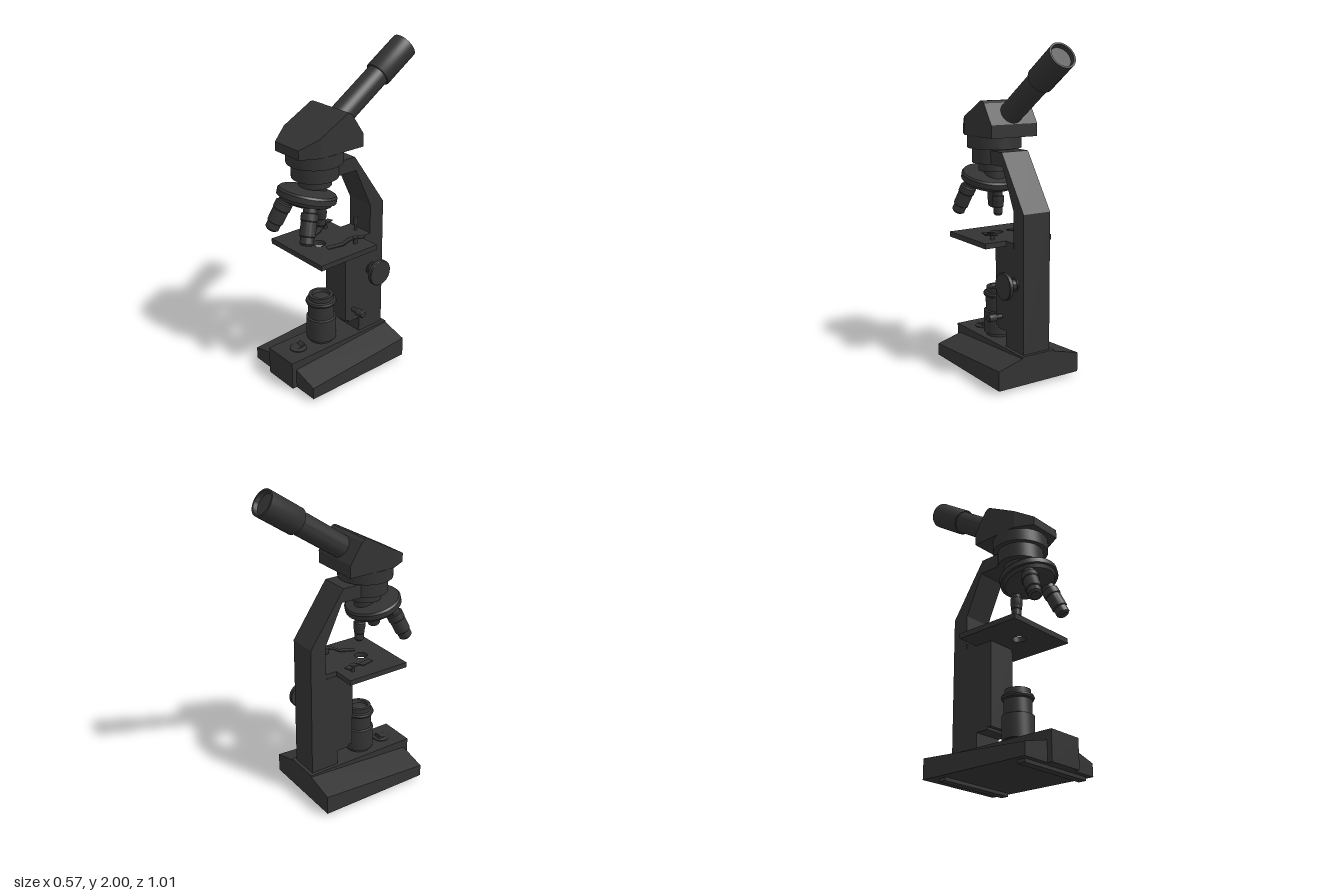
import * as THREE from 'three';
import { ConvexGeometry } from 'three/addons/geometries/ConvexGeometry.js';
import { toCreasedNormals } from 'three/addons/utils/BufferGeometryUtils.js';

const CX = 0.008;  // optical axis, x
const AXIS_Z = 0.2; // optical axis, z

export function createModel() {
  const model = new THREE.Group();
  const material = new THREE.MeshStandardMaterial({ color: 0x333333, side: THREE.DoubleSide });

  function add(name, geometry, x = 0, y = 0, z = 0, parent = model) {
    const mesh = new THREE.Mesh(geometry, material);
    mesh.name = name;
    mesh.position.set(x, y, z);
    parent.add(mesh);
    return mesh;
  }
  // Box given by its limits
  function block(name, x0, x1, y0, y1, z0, z1) {
    return add(name, new THREE.BoxGeometry(x1 - x0, y1 - y0, z1 - z0), (x0 + x1) / 2, (y0 + y1) / 2, (z0 + z1) / 2);
  }
  // Turned part from [radius, height] points, with crisp edges
  function turned(points, segments = 40) {
    const profile = points.map(([r, y]) => new THREE.Vector2(r, y));
    return toCreasedNormals(new THREE.LatheGeometry(profile, segments), 0.6);
  }
  // Side profile of [z, y] points, extruded across x
  function sideExtrude(points, width) {
    const shape = new THREE.Shape(points.map(([z, y]) => new THREE.Vector2(z, y)));
    return new THREE.ExtrudeGeometry(shape, { depth: width, bevelEnabled: false })
      .rotateY(-Math.PI / 2).translate(width / 2, 0, 0);
  }
  const hull = (points) => new ConvexGeometry(points.map((p) => new THREE.Vector3(...p)));

  // Base: sloping slab, raised centre ridge and cross feet
  const slab = [];
  for (const [outer, inner] of [[-0.285, -0.107], [0.285, 0.123]]) {
    for (const [z, yOuter, yInner] of [[0.475, 0.095, 0.14], [-0.25, 0.14, 0.185]]) {
      slab.push([outer, 0.02, z], [outer, yOuter, z], [inner, yInner, z]);
    }
  }
  add('baseSlab', hull(slab));
  block('baseRidge', -0.107, 0.123, 0.02, 0.195, -0.25, 0.505);
  for (const z of [0.42, -0.135]) block('footStrip', -0.25, 0.26, 0, 0.03, z - 0.025, z + 0.025);

  // Rocker switch on the ridge
  add('switchPlate', turned([[0, 0], [0.052, 0], [0.052, 0.008], [0.04, 0.012], [0, 0.012]], 28), CX, 0.193, 0.37);
  add('switchRocker', sideExtrude([[0.04, 0], [-0.03, 0], [-0.03, 0.03], [-0.01, 0.012], [0.04, 0.006]], 0.045), CX, 0.198, 0.37);

  // Column with cranked arm and focusing block
  add('columnArm', sideExtrude([
    [-0.228, 0.19], [-0.04, 0.19], [-0.04, 0.29], [0.045, 0.29], [0.045, 0.305], [0.07, 0.305],
    [0.07, 0.82], [-0.125, 0.82], [-0.125, 1.035], [-0.01, 1.285], [0.16, 1.285], [0.16, 1.37],
    [0, 1.37], [-0.228, 1.035],
  ], 0.186), CX, 0, 0);

  // Focus knob and small lever, both on the left side
  const knob = add('focusKnob', turned([
    [0, -0.01], [0.042, -0.01], [0.042, 0.008], [0.032, 0.008], [0.032, 0.06], [0.078, 0.06],
    [0.082, 0.064], [0.082, 0.083], [0.078, 0.087], [0, 0.087],
  ]), 0.1, 0.605, -0.138);
  knob.rotation.z = -Math.PI / 2;
  const lever = add('condenserLever', turned([
    [0, -0.01], [0.014, -0.01], [0.014, 0.04], [0.021, 0.04], [0.023, 0.045], [0.023, 0.092], [0.018, 0.097], [0, 0.097],
  ], 20), 0.1, 0.372, 0.01);
  lever.rotation.z = -Math.PI / 2;

  // Lamp housing with recessed lens
  add('lampHousing', turned([
    [0, 0.19], [0.076, 0.19], [0.076, 0.215], [0.092, 0.215], [0.092, 0.355], [0.08, 0.36], [0.08, 0.445],
    [0.09, 0.45], [0.095, 0.462], [0.09, 0.474], [0.075, 0.478], [0.075, 0.507], [0.055, 0.507],
    [0.05, 0.49], [0.03, 0.497], [0, 0.5],
  ]), CX, 0, 0.187);

  // Stage plate with light hole
  const plate = new THREE.Shape();
  plate.moveTo(-0.236, -0.372).lineTo(0.236, -0.372).lineTo(0.236, 0.047).lineTo(0.093, 0.047)
    .lineTo(0.093, 0.128).lineTo(-0.093, 0.128).lineTo(-0.093, 0.047).lineTo(-0.236, 0.047).closePath();
  plate.holes.push(new THREE.Path().absarc(0, -AXIS_Z, 0.04, 0, Math.PI * 2, true));
  add('stage', new THREE.ExtrudeGeometry(plate, { depth: 0.032, bevelEnabled: false, curveSegments: 24 })
    .rotateX(-Math.PI / 2), CX + 0.002, 0.818, 0);
  add('stagePin', turned([[0, 0], [0.009, 0], [0.009, 0.045], [0.014, 0.045], [0.014, 0.088], [0, 0.088]], 16), CX, 0.848, -0.09);

  // Bent spring clips on posts
  for (const side of [-1, 1]) {
    const clip = new THREE.Group();
    clip.name = 'stageClip';
    clip.position.set(CX + side * 0.14, 0.85, 0.035);
    clip.rotation.y = -side * 0.3;
    model.add(clip);
    add('clipPost', turned([[0, 0], [0.013, 0], [0.013, 0.03], [0.018, 0.03], [0.018, 0.042], [0, 0.042]], 16), 0, 0, 0, clip);
    add('clipSpring', sideExtrude([
      [-0.055, 0.032], [0.03, 0.032], [0.085, 0.006], [0.18, 0.001], [0.18, 0.006], [0.085, 0.012], [0.033, 0.038], [-0.055, 0.038],
    ], 0.036), 0, 0, 0, clip);
  }

  // Stepped mount under the head
  add('headMount', turned([
    [0, 1.17], [0.065, 1.17], [0.065, 1.235], [0.097, 1.235], [0.097, 1.285], [0.137, 1.285], [0.137, 1.376],
    [0.166, 1.376], [0.166, 1.452], [0, 1.452],
  ], 48), CX + 0.002, 0, 0.222);

  // Prism head with chamfered front corners
  const head = [];
  for (const side of [-1, 1]) {
    const w = side * 0.161;
    const n = side * 0.105;
    head.push([w, 1.452, 0], [w, 1.53, 0], [w, 1.652, 0.08], [w, 1.667, 0.1], [w, 1.667, 0.118],
      [w, 1.452, 0.31], [w, 1.563, 0.31], [n, 1.452, 0.417], [n, 1.506, 0.417]);
  }
  add('prismHead', hull(head), CX + 0.002, 0, 0);

  // Inclined eyepiece tube with recessed lens
  const eyepiece = add('eyepieceTube', turned([
    [0, -0.06], [0.069, -0.06], [0.069, 0.35], [0.077, 0.35], [0.081, 0.356], [0.081, 0.6],
    [0.07, 0.6], [0.064, 0.575], [0, 0.575],
  ], 48), CX, 1.593, 0.04);
  eyepiece.rotation.x = -Math.atan2(0.497, 0.335);

  // Tilted revolving nosepiece
  const turret = new THREE.Group();
  turret.name = 'nosepiece';
  turret.position.set(CX + 0.002, 1.185, 0.282);
  turret.rotation.x = -0.26;
  model.add(turret);
  add('turretDisc', turned([
    [0, -0.06], [0.1, -0.06], [0.15, -0.04], [0.16, -0.018], [0.174, -0.018], [0.174, 0.014],
    [0.165, 0.026], [0.08, 0.042], [0, 0.042],
  ], 48), 0, 0, 0, turret);

  // Objectives: azimuth from the front, length and radius
  for (const [azimuth, length, radius] of [[-0.95, 0.262, 0.052], [1.15, 0.262, 0.05], [Math.PI, 0.2, 0.036]]) {
    const pivot = new THREE.Group();
    pivot.name = 'objectiveMount';
    pivot.rotation.y = azimuth;
    turret.add(pivot);
    const objective = add('objective', turned([
      [0, -length], [radius * 0.55, -length], [radius * 0.8, -length + 0.012], [radius * 0.8, -length + 0.05],
      [radius * 0.92, -length + 0.055], [radius * 0.92, -0.125], [radius, -0.12], [radius, -0.08],
      [radius * 0.8, -0.075], [radius * 0.8, -0.02], [0, -0.02],
    ], 28), 0, 0, 0.1, pivot);
    objective.rotation.x = -0.27;
  }

  return model;
}
